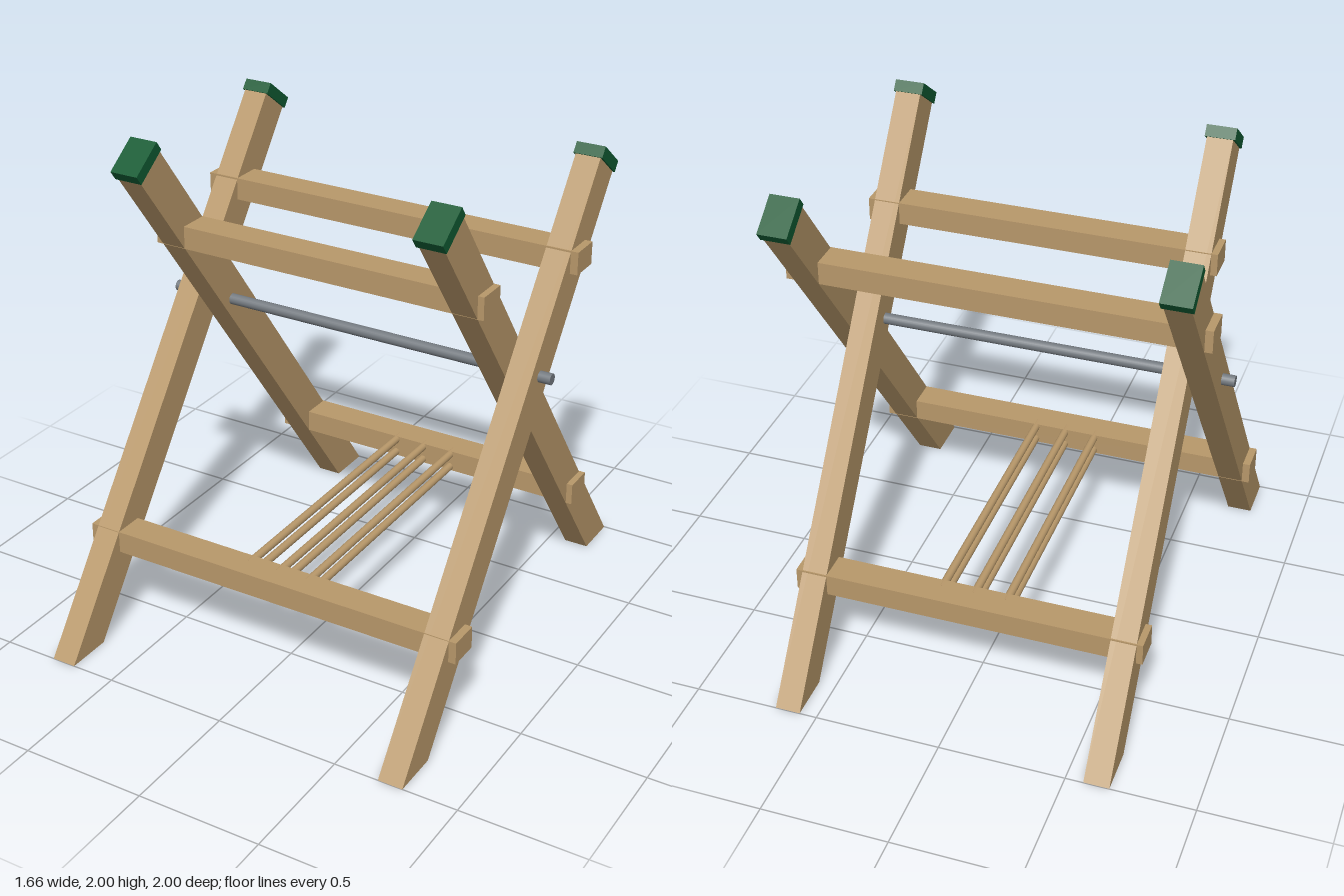
import * as THREE from 'three';

const wood = new THREE.MeshStandardMaterial({ color: 0xb8986a });
wood.name = 'wood';
const green = new THREE.MeshStandardMaterial({ color: 0x0f5a32 });
green.name = 'green';
const steel = new THREE.MeshStandardMaterial({ color: 0x747a80 });
steel.name = 'steel';

function add(parent, name, geometry, material, x, y, z) {
  const mesh = new THREE.Mesh(geometry, material);
  mesh.name = name;
  mesh.position.set(x, y, z);
  parent.add(mesh);
  return mesh;
}

// Slanted leg from a level-cut foot to a square-cut top, with an end cap
function addLeg(parent, name, x, footZ, topZ, topY) {
  const angle = Math.atan2(topZ - footZ, topY);
  const c = Math.cos(angle), s = Math.sin(angle);
  const half = 0.075, foot = half / c;
  const shape = new THREE.Shape([
    new THREE.Vector2(-footZ - foot, 0),
    new THREE.Vector2(-footZ + foot, 0),
    new THREE.Vector2(-topZ + half * c, topY + half * s),
    new THREE.Vector2(-topZ - half * c, topY - half * s),
  ]);
  const geometry = new THREE.ExtrudeGeometry(shape, { depth: 0.1, bevelEnabled: false });
  geometry.translate(0, 0, -0.05).rotateY(Math.PI / 2);
  add(parent, name, geometry, wood, x, 0, 0);
  const cap = add(parent, name + 'Cap', new THREE.BoxGeometry(0.116, 0.045, 0.16), green, x, topY, topZ);
  cap.rotation.x = angle;
}

// One folding frame: two legs joined by two through-tenoned rails
function addFrame(parent, name, o) {
  const frame = new THREE.Group();
  frame.name = name;
  for (const side of [-1, 1]) {
    addLeg(frame, side > 0 ? 'leftLeg' : 'rightLeg', side * o.x, o.footZ, o.topZ, o.topY);
  }
  const rail = new THREE.BoxGeometry(o.railLength, 0.09, 0.124);
  add(frame, 'lowerRail', rail, wood, 0, 0.39, o.lowerZ);
  add(frame, 'upperRail', rail, wood, 0, 1.57, o.upperZ);
  parent.add(frame);
}

export function createModel() {
  const model = new THREE.Group();
  model.name = 'foldingStand';

  addFrame(model, 'outerFrame', {
    x: 0.73, footZ: 0.906, topZ: -0.517, topY: 1.876,
    railLength: 1.62, lowerZ: 0.61, upperZ: -0.282,
  });
  addFrame(model, 'innerFrame', {
    x: 0.62, footZ: -0.906, topZ: 0.51, topY: 1.934,
    railLength: 1.39, lowerZ: -0.623, upperZ: 0.243,
  });

  // Pivot rod through all four legs
  const rod = new THREE.CylinderGeometry(0.022, 0.022, 1.66, 24).rotateZ(Math.PI / 2);
  add(model, 'pivotRod', rod, steel, 0, 1.2, 0);

  // Two layers of thin dowels between the lower rails
  const dowel = new THREE.CylinderGeometry(0.016, 0.016, 1.18, 16).rotateX(Math.PI / 2);
  for (const x of [-0.13, 0, 0.13]) {
    for (const y of [0.42, 0.362]) add(model, 'shelfDowel', dowel, wood, x, y, -0.005);
  }
  return model;
}
